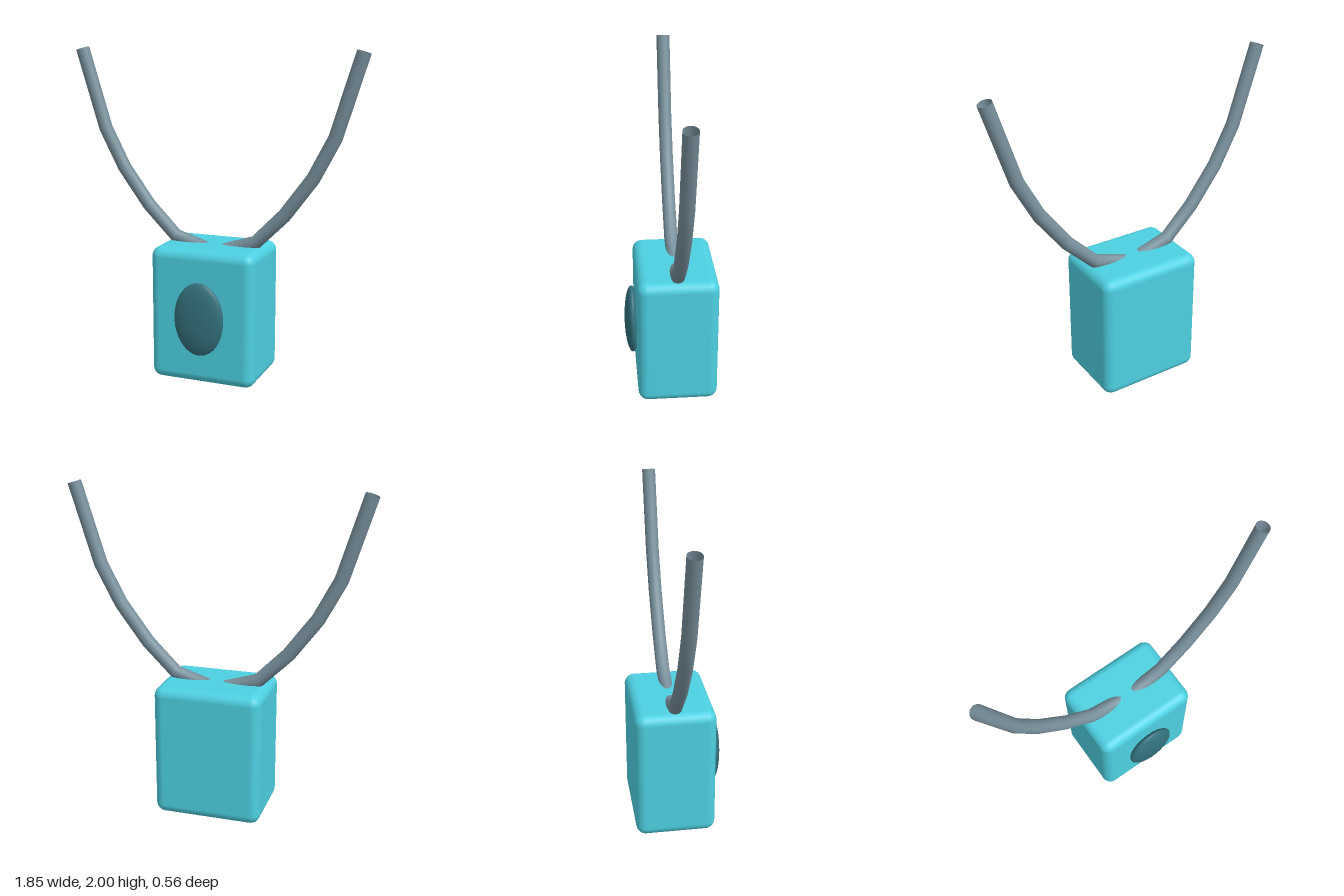
import * as THREE from 'three';
import { RoundedBoxGeometry } from 'three/addons/geometries/RoundedBoxGeometry.js';

// Curve of straight runs through the given points, with one tube ring per point
class PolylineCurve extends THREE.Curve {
  constructor(points) {
    super();
    this.points = points;
  }
  getPoint(t, target = new THREE.Vector3()) {
    const f = t * (this.points.length - 1);
    const i = Math.min(Math.floor(f), this.points.length - 2);
    return target.lerpVectors(this.points[i], this.points[i + 1], f - i);
  }
  getPointAt(u, target) {
    return this.getPoint(u, target);
  }
  // Bisects the two runs that meet at a point
  getTangentAt(u, target = new THREE.Vector3()) {
    const p = this.getPoint(u);
    const before = p.clone().sub(this.getPoint(Math.max(u - 0.001, 0))).normalize();
    const after = this.getPoint(Math.min(u + 0.001, 1)).sub(p).normalize();
    return target.addVectors(before, after).normalize();
  }
}

export function createModel() {
  const group = new THREE.Group();

  function add(name, geometry, color, x, y, z) {
    const material = new THREE.MeshStandardMaterial({ color });
    const mesh = new THREE.Mesh(geometry, material);
    mesh.name = name;
    mesh.position.set(x, y, z);
    group.add(mesh);
    return mesh;
  }

  // Rounded pendant body
  add('body', new RoundedBoxGeometry(0.66, 0.825, 0.49, 5, 0.06), 0x4dd0e1, 0, 0.4125, -0.035);

  // Flattened oval button on the front
  const button = add('button', new THREE.SphereGeometry(1, 40, 24), 0x33717d, 0, 0.415, 0.232);
  button.scale.set(0.156, 0.225, 0.047);

  // Cord: open tube dipping through the top of the body, mirrored about the middle
  const half = [[0.885, 1.988], [0.735, 1.5], [0.61, 1.26], [0.44, 1.03], [0.26, 0.85]];
  const path = [
    ...half.map(([x, y]) => new THREE.Vector3(-x, y, 0)),
    new THREE.Vector3(0, 0.77, 0),
    ...half.slice().reverse().map(([x, y]) => new THREE.Vector3(x, y, 0)),
  ];
  const cordGeometry = new THREE.TubeGeometry(new PolylineCurve(path), path.length - 1, 0.042, 20);
  const cord = add('cord', cordGeometry, 0x78909c, 0, 0, -0.035);
  cord.material.side = THREE.DoubleSide;

  return group;
}
